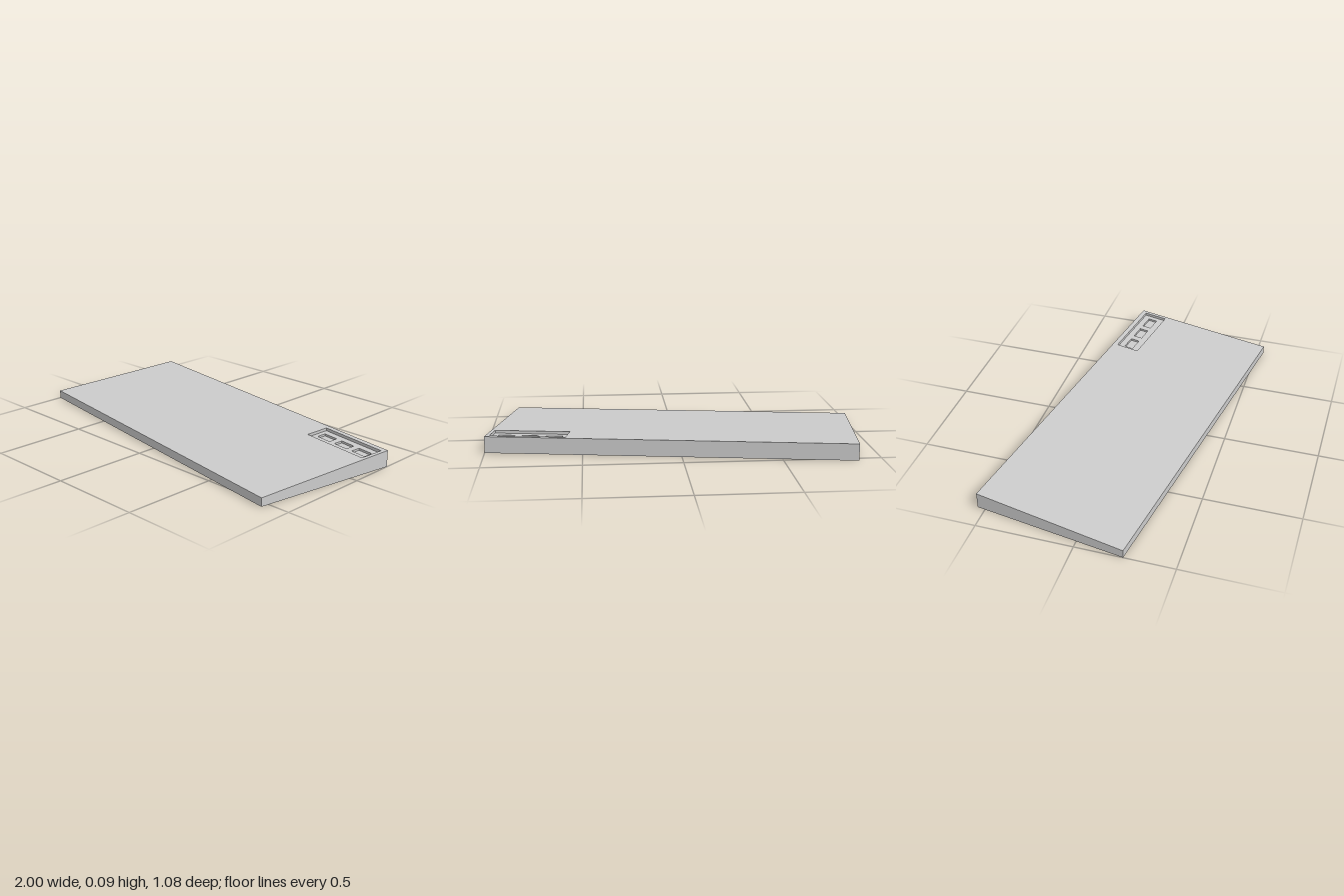
import * as THREE from 'three';
import { mergeGeometries } from 'three/addons/utils/BufferGeometryUtils.js';

const HALF_W = 0.949, HALF_D = 0.3975;
const FRONT_H = 0.044, BACK_H = 0.0865;
const RECESS_DROP = 0.015, PIT_DROP = 0.026;

// height of the sloping top at depth z
const slope = (z) => THREE.MathUtils.lerp(BACK_H, FRONT_H, (z + HALF_D) / (2 * HALF_D));
const ground = () => 0;
const below = (drop) => (z) => slope(z) - drop;

// rectangle as four corners [x, z], counter-clockwise from above
const rect = (x0, x1, z0, z1) => [[x0, z1], [x1, z1], [x1, z0], [x0, z0]];
const points = (r) => r.map(([x, z]) => new THREE.Vector2(x, -z));

// upward-facing sheet with optional rectangular holes, laid on a height rule
function sheet(r, height, holes = []) {
  const shape = new THREE.Shape(points(r));
  holes.forEach((h) => shape.holes.push(new THREE.Path(points(h))));
  const g = new THREE.ShapeGeometry(shape).rotateX(-Math.PI / 2).toNonIndexed();
  const p = g.attributes.position;
  for (let i = 0; i < p.count; i++) p.setY(i, height(p.getZ(i)));
  g.deleteAttribute('uv');
  g.computeVertexNormals();
  return g;
}

// four walls round a rectangle between two height rules, facing out or in
function walls(r, low, high, inward = false) {
  const v = [];
  r.forEach((a, i) => {
    let b = r[(i + 1) % 4], c = a;
    if (inward) [c, b] = [b, c];
    const [p, q] = [[c[0], low(c[1]), c[1]], [b[0], low(b[1]), b[1]]];
    const [s, t] = [[b[0], high(b[1]), b[1]], [c[0], high(c[1]), c[1]]];
    v.push(...p, ...q, ...s, ...p, ...s, ...t);
  });
  const g = new THREE.BufferGeometry();
  g.setAttribute('position', new THREE.Float32BufferAttribute(v, 3));
  g.computeVertexNormals();
  return g;
}

export function createModel() {
  const model = new THREE.Group();
  const material = new THREE.MeshStandardMaterial({ color: 0xcccccc });
  const add = (name, parts) => {
    const mesh = new THREE.Mesh(mergeGeometries(parts), material);
    mesh.name = name;
    model.add(mesh);
  };

  const outline = rect(-HALF_W, HALF_W, -HALF_D, HALF_D);
  const recess = rect(0.534, 0.929, -0.371, -0.242);
  const pits = [-1, 0, 1].map((i) => {
    const x = 0.731 + i * 0.125;
    return rect(x - 0.044, x + 0.044, -0.337, -0.287);
  });

  // wedge body with an opening in its top
  const underside = new THREE.PlaneGeometry(2 * HALF_W, 2 * HALF_D).rotateX(Math.PI / 2).toNonIndexed();
  underside.deleteAttribute('uv');
  add('wedgeBody', [underside, walls(outline, ground, slope), sheet(outline, slope, [recess])]);

  // shallow indicator recess in the back left corner
  add('indicatorRecess', [
    walls(recess, below(RECESS_DROP), slope, true),
    sheet(recess, below(RECESS_DROP), pits),
  ]);

  // three small windows sunk in the recess floor
  pits.forEach((pit, i) => add(`indicatorWindow${i + 1}`, [
    walls(pit, below(PIT_DROP), below(RECESS_DROP), true),
    sheet(pit, below(PIT_DROP)),
  ]));

  // the slab stands slightly turned
  model.rotation.y = THREE.MathUtils.degToRad(-9);
  const root = new THREE.Group();
  root.name = 'wedgeSlab';
  root.add(model);
  return root;
}
